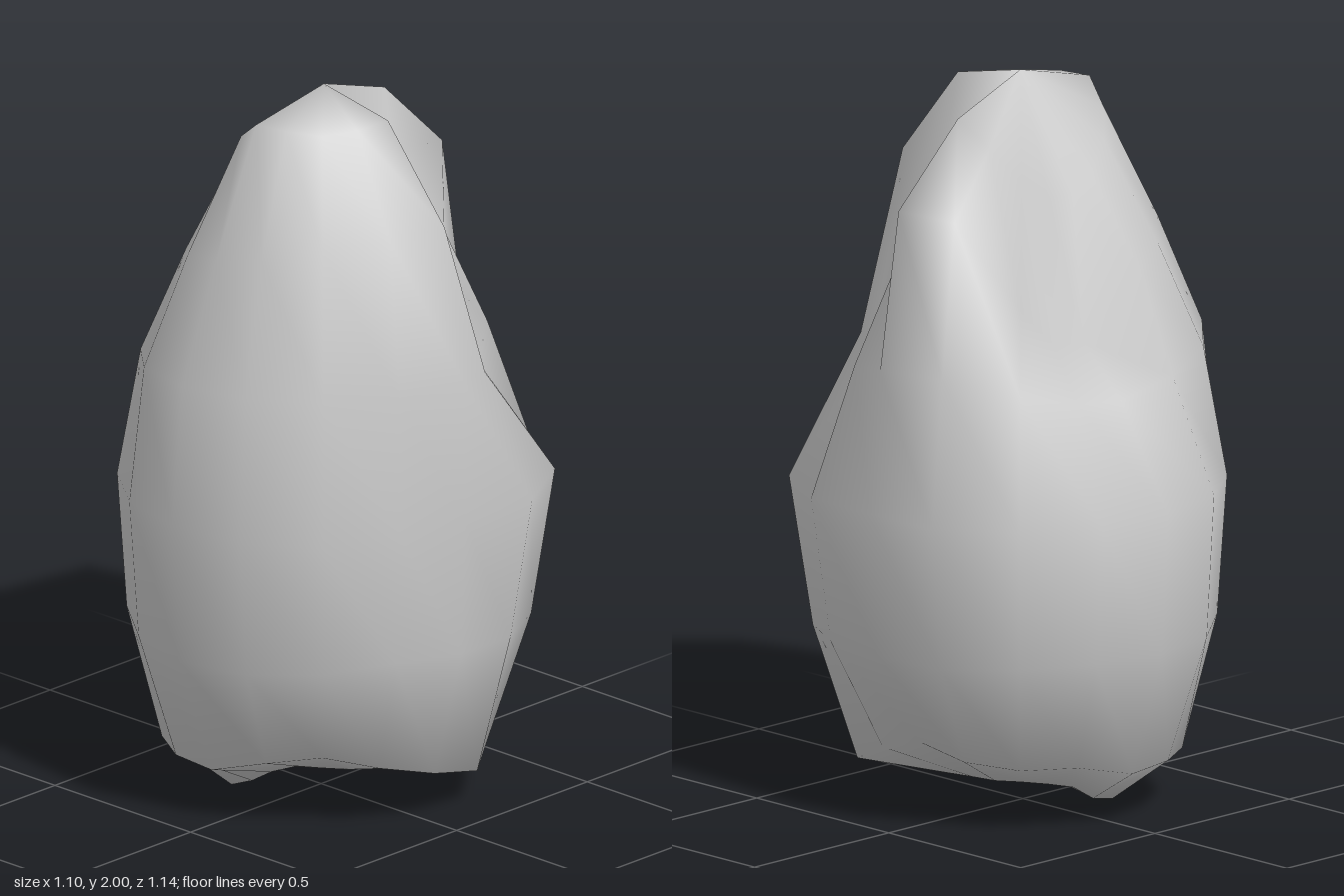
import * as THREE from 'three';

// Distance factors on an ellipsoid. One row per ring, from top to bottom;
// columns run in 16 equal steps from +x through +z, -x and -z.
const RINGS = [
  [1.15, 1.14, 1.13, 1.14, 1.14, 1.07, 1.00, 0.92, 0.88, 0.87, 0.93, 1.03, 1.11, 0.95, 0.91, 1.00],
  [1.15, 1.16, 1.13, 1.06, 1.00, 0.96, 0.90, 0.85, 0.58, 0.58, 0.75, 1.14, 1.15, 0.89, 0.80, 0.92],
  [1.02, 1.02, 1.05, 1.04, 1.01, 0.98, 0.92, 0.83, 0.72, 0.76, 0.88, 1.03, 1.01, 0.92, 0.80, 0.90],
  [0.95, 0.95, 1.03, 1.02, 1.00, 0.98, 0.96, 0.98, 0.98, 1.01, 1.05, 1.07, 1.00, 1.07, 1.10, 1.07],
  [1.00, 0.97, 1.00, 1.02, 1.03, 1.01, 0.99, 1.02, 1.02, 1.02, 1.03, 1.05, 1.03, 1.05, 1.07, 1.04],
  [1.06, 1.00, 0.95, 0.98, 1.04, 1.05, 1.06, 1.05, 1.05, 1.00, 1.00, 0.98, 0.94, 1.00, 1.10, 1.12],
  [0.86, 0.85, 0.84, 0.84, 0.87, 0.92, 1.10, 0.94, 0.89, 0.87, 0.86, 0.86, 0.86, 0.87, 0.87, 0.87],
];
const SIZE = new THREE.Vector3(0.56, 1, 0.57);
const CENTRE_Y = 0.89;
const SIDES = RINGS[0].length;

export function createModel() {
  const group = new THREE.Group();
  const positions = [0.02, 2, 0.01];
  const index = [];

  // Rings of the lumpy body
  RINGS.forEach((row, i) => {
    const theta = (Math.PI * (i + 1)) / (RINGS.length + 1);
    row.forEach((r, j) => {
      const phi = (j / SIDES) * Math.PI * 2;
      positions.push(
        SIZE.x * r * Math.sin(theta) * Math.cos(phi),
        Math.max(0, CENTRE_Y + SIZE.y * r * Math.cos(theta)),
        SIZE.z * r * Math.sin(theta) * Math.sin(phi)
      );
    });
  });
  positions.push(0, 0.1, 0);

  // Caps and walls
  const bottom = positions.length / 3 - 1;
  const at = (i, j) => 1 + i * SIDES + (j % SIDES);
  const last = RINGS.length - 1;
  for (let j = 0; j < SIDES; j++) {
    index.push(0, at(0, j + 1), at(0, j));
    for (let i = 0; i < last; i++) {
      const a = at(i, j), b = at(i, j + 1), c = at(i + 1, j), d = at(i + 1, j + 1);
      index.push(a, b, c, b, d, c);
    }
    index.push(bottom, at(last, j), at(last, j + 1));
  }

  const geometry = new THREE.BufferGeometry();
  geometry.setAttribute('position', new THREE.Float32BufferAttribute(positions, 3));
  geometry.setIndex(index);
  geometry.computeVertexNormals();

  const rock = new THREE.Mesh(geometry, new THREE.MeshStandardMaterial({ color: 0xcccccc }));
  rock.name = 'rock';
  group.add(rock);
  return group;
}
